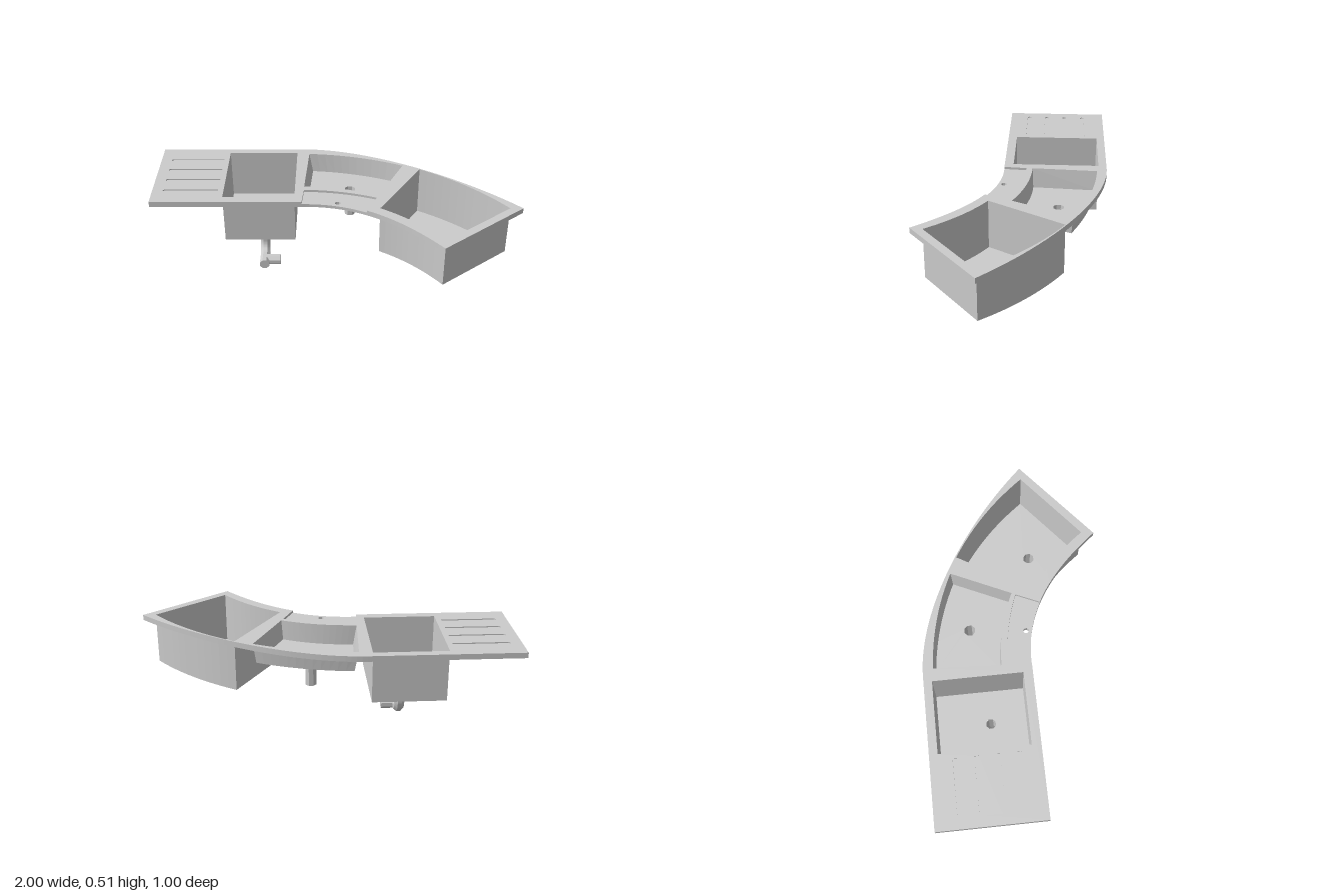
import * as THREE from 'three';

const TOP = 0.51, DECK = 0.497, RIM = 0.48;
const mat = new THREE.MeshStandardMaterial({ color: 0xcccccc, side: THREE.DoubleSide, flatShading: true });
const V = (x, z) => new THREE.Vector2(x, z);

// Plan curves, all as (x, z)
const arc = (a, c, b, n = 12) => new THREE.QuadraticBezierCurve(V(...a), V(...c), V(...b)).getPoints(n);
const outer = new THREE.CubicBezierCurve(V(-0.19, -0.5), V(0.17, -0.5), V(0.66, -0.22), V(1, 0.134));
const inner = new THREE.CubicBezierCurve(V(-0.18, 0.075), V(0.1, 0.07), V(0.32, 0.21), V(0.55, 0.5));
const circle = (x, z, r, n = 8) => Array.from({ length: n }, (_, i) => {
  const a = (i + 0.5) / n * Math.PI * 2;
  return V(x + r * Math.cos(a), z + r * Math.sin(a));
});

function add(parent, name, geometry) {
  const mesh = new THREE.Mesh(geometry, mat);
  mesh.name = name;
  parent.add(mesh);
  return mesh;
}

// Flat horizontal sheet with optional holes
function sheet(parent, name, loop, y, holes = []) {
  const flip = pts => pts.map(p => V(p.x, -p.y));
  const shape = new THREE.Shape(flip(loop));
  holes.forEach(h => shape.holes.push(new THREE.Path(flip(h))));
  return add(parent, name, new THREE.ShapeGeometry(shape).rotateX(-Math.PI / 2).translate(0, y, 0));
}

// Band joining two closed loops at different heights
function wall(parent, name, upper, yU, lower, yL) {
  const pos = [];
  upper.forEach((a, i) => {
    const j = (i + 1) % upper.length, b = upper[j], c = lower[j], d = lower[i];
    pos.push(a.x, yU, a.y, b.x, yU, b.y, c.x, yL, c.y, a.x, yU, a.y, c.x, yL, c.y, d.x, yL, d.y);
  });
  const g = new THREE.BufferGeometry();
  g.setAttribute('position', new THREE.Float32BufferAttribute(pos, 3));
  g.computeVertexNormals();
  return add(parent, name, g);
}

// Bowl: walls from the worktop down to a floor with a drain hole
function bowl(parent, name, loop, yFloor, drain, floorLoop = loop) {
  const g = new THREE.Group();
  g.name = name;
  wall(g, name + 'Walls', loop, TOP, floorLoop, yFloor);
  sheet(g, name + 'Floor', floorLoop, yFloor, [drain]);
  parent.add(g);
}

// Straight octagonal pipe, closed at the bottom
function pipe(parent, name, x, z, r, y0, y1) {
  const loop = circle(x, z, r);
  wall(parent, name, loop, y1, loop, y0);
  sheet(parent, name + 'End', loop, y0);
}

export function createModel() {
  const root = new THREE.Group();
  root.name = 'curvedSink';

  // Bowl outlines
  const leftLoop = [V(-0.61, -0.455), V(-0.22, -0.455), V(-0.22, 0.025), V(-0.61, 0.025)];
  const midLoop = [
    ...arc([-0.15, -0.445], [0.13, -0.43], [0.385, -0.31]),
    ...arc([0.235, 0.01], [0.05, -0.08], [-0.17, -0.085])];
  const midFloor = [
    ...arc([-0.13, -0.435], [0.13, -0.415], [0.37, -0.303]),
    ...arc([0.227, 0.003], [0.05, -0.085], [-0.152, -0.09])];
  const rightLoop = [
    ...arc([0.48, -0.27], [0.745, -0.113], [0.93, 0.134]),
    ...arc([0.56, 0.433], [0.425, 0.245], [0.24, 0.134])];

  // Worktop outline, with a notch for the lowered tap deck
  const N = 40, split = 18;
  const inPts = inner.getPoints(N);
  const back = [V(-1, -0.5), ...outer.getPoints(N)];
  const deckBack = arc([0.225, 0.03], [0.04, -0.045], [-0.17, -0.05]);
  const rightEdge = inPts.slice(split).reverse();
  const frontLeft = [inPts[0], V(-1, 0.075)];
  const full = [...back, ...inPts.slice().reverse(), V(-1, 0.075)];
  const notched = [...back, ...rightEdge, ...deckBack, ...frontLeft];
  const deckLoop = [...inPts.slice(0, split + 1), ...deckBack];

  // Round-ended drainer grooves
  const grooves = [-0.37, -0.26, -0.15, -0.04].map(z => {
    const pts = [], r = 0.012;
    for (let i = 0; i <= 6; i++) {
      const a = Math.PI / 2 + i / 6 * Math.PI;
      pts.push(V(-0.93 + r * Math.cos(a), z + r * Math.sin(a)));
    }
    return [...pts, V(-0.64, z - r), V(-0.64, z + r)];
  });

  const worktop = new THREE.Group();
  worktop.name = 'worktop';
  root.add(worktop);
  sheet(worktop, 'worktopSurface', notched, TOP, [leftLoop, midLoop, rightLoop, ...grooves]);
  wall(worktop, 'upperEdge', notched, TOP, notched, DECK);
  wall(worktop, 'lowerEdge', full, DECK, full, RIM);
  grooves.forEach(g => {
    wall(worktop, 'grooveSide', g, TOP, g, TOP - 0.006);
    sheet(worktop, 'grooveFloor', g, TOP - 0.006);
  });

  // Tap deck with its hole
  const tapHole = circle(0.015, 0.065, 0.015);
  sheet(worktop, 'tapDeck', deckLoop, DECK, [tapHole]);
  wall(worktop, 'tapHoleCollar', tapHole, DECK, tapHole, 0.47);

  // Three bowls
  bowl(root, 'leftBowl', leftLoop, 0.23, circle(-0.405, -0.17, 0.028));
  bowl(root, 'middleBowl', midLoop, 0.4, circle(0.085, -0.235, 0.031), midFloor);
  bowl(root, 'rightBowl', rightLoop, 0.23, circle(0.565, 0.143, 0.031));

  // Straight drains
  pipe(root, 'middleDrain', 0.085, -0.235, 0.031, 0.24, 0.4);
  pipe(root, 'rightDrain', 0.565, 0.143, 0.031, 0.105, 0.23);

  // Bent waste pipe with a side branch
  const waste = new THREE.Group();
  waste.name = 'wastePipe';
  root.add(waste);
  const X = -0.405, Z = -0.168, r = 0.029, y = 0.027, bend = 0.075;
  const P = (py, pz) => new THREE.Vector3(X, py, pz);
  const path = new THREE.CurvePath();
  const k = bend * 0.45;
  path.add(new THREE.LineCurve3(P(0.23, Z), P(y + bend, Z)));
  path.add(new THREE.CubicBezierCurve3(P(y + bend, Z), P(y + k, Z), P(y, Z + k), P(y, Z + bend)));
  path.add(new THREE.LineCurve3(P(y, Z + bend), P(y, -0.015)));
  const tube = new THREE.TubeGeometry(path, 30, r, 8);
  // turn the octagon so that its flats face the axes
  tube.dispose();
  const rings = path.getSpacedPoints(30), pos = [], idx = [];
  rings.forEach((p, i) => {
    const t = path.getTangentAt(i / 30), n = new THREE.Vector3(0, t.z, -t.y);
    for (let s = 0; s < 8; s++) {
      const a = (s + 0.5) / 8 * Math.PI * 2, c = r * Math.cos(a), d = r * Math.sin(a);
      pos.push(p.x + c, p.y + n.y * d, p.z + n.z * d);
      if (i < 30) {
        const a0 = i * 8 + s, a1 = i * 8 + (s + 1) % 8;
        idx.push(a0, a1, a1 + 8, a0, a1 + 8, a0 + 8);
      }
    }
  });
  const bent = new THREE.BufferGeometry();
  bent.setAttribute('position', new THREE.Float32BufferAttribute(pos, 3));
  bent.setIndex(idx);
  bent.computeVertexNormals();
  add(waste, 'wasteBend', bent);
  const cap = add(waste, 'wasteEnd', new THREE.CircleGeometry(r, 8, Math.PI / 8));
  cap.position.set(X, y, -0.015);
  const branch = add(waste, 'wasteBranch',
    new THREE.CylinderGeometry(r, r, 0.09, 8).rotateY(Math.PI / 8).rotateZ(Math.PI / 2));
  branch.position.set(X + 0.045, y, -0.066);

  return root;
}
